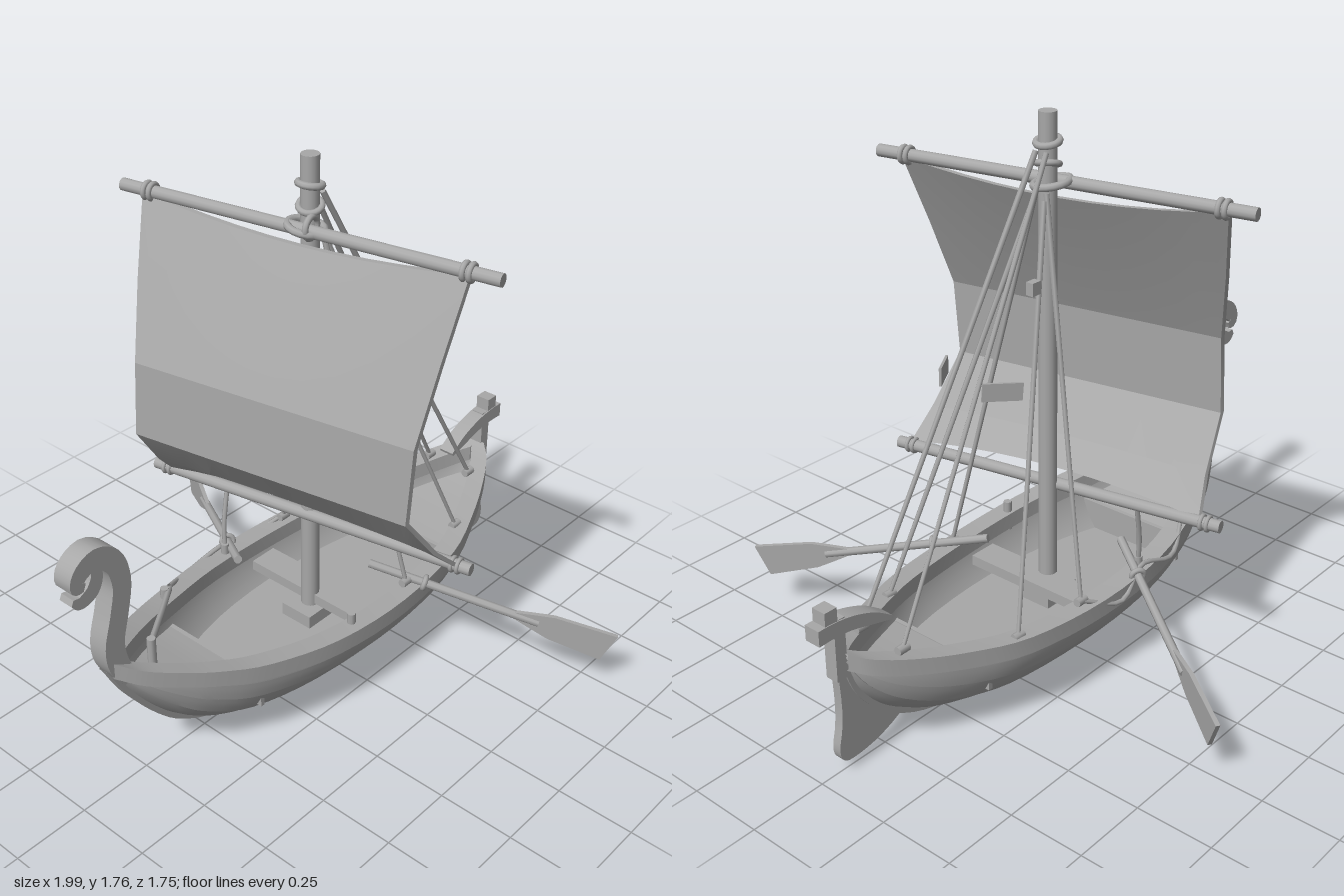
import * as THREE from 'three';
import { toCreasedNormals } from 'three/addons/utils/BufferGeometryUtils.js';
import { ParametricGeometry } from 'three/addons/geometries/ParametricGeometry.js';

const V = (x, y, z) => new THREE.Vector3(x, y, z);

// Hull stations: x, half width, keel height, sheer height
const STATIONS = [
  [-0.87, 0.02, 0.46, 0.49], [-0.8, 0.075, 0.33, 0.45], [-0.7, 0.135, 0.2, 0.415],
  [-0.6, 0.185, 0.11, 0.385], [-0.45, 0.24, 0.04, 0.35], [-0.2, 0.295, 0.014, 0.32],
  [0.1, 0.305, 0.008, 0.305], [0.4, 0.27, 0.014, 0.31], [0.6, 0.2, 0.05, 0.33],
  [0.75, 0.13, 0.13, 0.355], [0.85, 0.07, 0.24, 0.38], [0.9, 0.02, 0.36, 0.4],
];
const spline = (f) => new THREE.CatmullRomCurve3(STATIONS.map(f), false, 'catmullrom');
const lowCurve = spline((s) => V(s[0], s[2], s[1]));
const topCurve = spline((s) => V(s[0], s[3], 0));

function station(u) {
  const a = lowCurve.getPoint(u), b = topCurve.getPoint(u);
  return { x: a.x, w: Math.max(a.z, 0.01), keel: a.y, sheer: b.y };
}
const fullness = (t) => Math.pow(Math.max(0, 1 - (1 - t) * (1 - t)), 0.6);

export function createModel() {
  const model = new THREE.Group();
  const grey = new THREE.MeshStandardMaterial({ color: 0xa8a8a8, side: THREE.DoubleSide });
  grey.name = 'weathered grey';

  function add(name, geometry, parent = model) {
    const mesh = new THREE.Mesh(geometry, grey);
    mesh.name = name;
    parent.add(mesh);
    return mesh;
  }
  const surface = (name, fn, nu, nv, crease = 0.4) =>
    add(name, toCreasedNormals(new ParametricGeometry(fn, nu, nv), crease));
  function rod(name, a, b, r, r2 = r, sides = 10) {
    const mesh = add(name, new THREE.CylinderGeometry(r2, r, a.distanceTo(b), sides));
    mesh.position.copy(a).lerp(b, 0.5);
    mesh.quaternion.setFromUnitVectors(V(0, 1, 0), b.clone().sub(a).normalize());
    return mesh;
  }
  const rope = (name, pts, r = 0.008) =>
    add(name, new THREE.TubeGeometry(new THREE.CatmullRomCurve3(pts), 20, r, 6));
  function box(name, size, pos) {
    const mesh = add(name, new THREE.BoxGeometry(...size));
    mesh.position.set(...pos);
    return mesh;
  }
  function ring(name, pos, axis, r, tube) {
    const mesh = add(name, new THREE.TorusGeometry(r, tube, 8, 18));
    mesh.position.copy(pos);
    mesh.quaternion.setFromUnitVectors(V(0, 0, 1), axis.clone().normalize());
    return mesh;
  }
  // Flat plate cut in the x-y plane, centred on z
  function plate(name, shape, depth) {
    const g = new THREE.ExtrudeGeometry(shape, { depth, bevelEnabled: false, curveSegments: 8 });
    g.translate(0, 0, -depth / 2);
    return add(name, toCreasedNormals(g, 0.6));
  }
  // Tapering carved strip along points of x, y, half width
  function carving(name, pts, depth) {
    const c = new THREE.CatmullRomCurve3(pts.map((p) => V(...p)));
    const left = [], right = [];
    for (let i = 0; i <= 36; i++) {
      const p = c.getPoint(i / 36), t = c.getTangent(i / 36).setZ(0).normalize();
      left.push(new THREE.Vector2(p.x - t.y * p.z, p.y + t.x * p.z));
      right.unshift(new THREE.Vector2(p.x + t.y * p.z, p.y - t.x * p.z));
    }
    return plate(name, new THREE.Shape([...left, ...right]), depth);
  }

  // Lapped planking: each strake stands proud at its lower edge
  const laps = [0, 0.3, 0.55, 0.78, 1], profile = [];
  for (let j = 0; j < 4; j++) {
    for (let k = 0; k <= 3; k++) {
      const f = k / 3;
      profile.push([laps[j] + (laps[j + 1] - laps[j]) * f, j ? 0.009 * (1 - f) : 0]);
    }
  }
  for (const side of [1, -1]) {
    const label = side > 0 ? 'left' : 'right';
    surface(label + 'HullPlanking', (u, v, p) => {
      const s = station(u), [t, o] = profile[Math.round(v * (profile.length - 1))];
      p.set(s.x, s.keel + (s.sheer - s.keel) * t, side * (s.w * fullness(t) + o));
    }, 44, profile.length - 1);
    surface(label + 'InnerLining', (u, v, p) => {
      const s = station(u), t = 0.12 + 0.85 * v;
      p.set(s.x, s.keel + (s.sheer - s.keel) * t, side * Math.max(0, s.w * fullness(t) - 0.03));
    }, 36, 8);
    const corners = [[0.012, 0], [0.012, -0.055], [-0.055, -0.055], [-0.055, 0], [0.012, 0]];
    surface(label + 'Gunwale', (u, v, p) => {
      const s = station(u), [dz, dy] = corners[Math.round(v * 4)];
      p.set(s.x, s.sheer + dy, side * Math.max(0, s.w + dz));
    }, 44, 4);
  }

  // Floor of the well, end decks and bulkheads
  function deck(name, u0, u1, height) {
    surface(name, (u, v, p) => {
      const s = station(u0 + (u1 - u0) * u), y = Math.max(height(s), s.keel + 0.01);
      const t = (y - s.keel) / (s.sheer - s.keel);
      p.set(s.x, y, (v * 2 - 1) * Math.max(0, s.w * fullness(t) - 0.015));
    }, 16, 2);
  }
  deck('wellFloor', 4 / 11, 7.5 / 11, () => 0.15);
  deck('bowDeck', 0.03, 4.06 / 11, (s) => s.sheer - 0.1);
  deck('sternDeck', 7.5 / 11, 0.97, (s) => s.sheer - 0.1);
  box('bowBulkhead', [0.015, 0.1, 0.4], [-0.44, 0.2, 0]);
  box('sternBulkhead', [0.015, 0.08, 0.4], [0.5, 0.18, 0]);
  box('mastThwart', [0.1, 0.035, 0.5], [0.04, 0.22, 0]);
  box('mastStep', [0.14, 0.05, 0.12], [0, 0.17, 0]);

  // Keel strip following the bottom edge
  const edge = [[0.012, 0.02], [-0.012, 0.02], [-0.012, -0.02], [0.012, -0.02], [0.012, 0.02]];
  surface('keel', (u, v, p) => {
    const s = station(u), t = lowCurve.getTangent(u).setZ(0).normalize(), [n, z] = edge[Math.round(v * 4)];
    p.set(s.x - t.y * n, s.keel + t.x * n, z);
  }, 44, 4);

  // Scrolled stem
  carving('bowStem', [[-0.81, 0.4, 0.025], [-0.85, 0.48, 0.035], [-0.858, 0.55, 0.036], [-0.833, 0.65, 0.035],
    [-0.816, 0.75, 0.034], [-0.843, 0.838, 0.034], [-0.905, 0.875, 0.034], [-0.958, 0.85, 0.03],
    [-0.97, 0.815, 0.022], [-0.945, 0.805, 0.012]], 0.066);
  carving('bowScroll', [[-0.9, 0.855, 0.012], [-0.895, 0.81, 0.022], [-0.915, 0.77, 0.026],
    [-0.955, 0.755, 0.022], [-0.985, 0.768, 0.01]], 0.05);

  // Sternpost, rudder and tiller
  box('sternPost', [0.04, 0.2, 0.045], [0.915, 0.42, 0]);
  const rudder = new THREE.Shape();
  rudder.moveTo(0.9, 0.48);
  rudder.lineTo(0.935, 0.48);
  rudder.bezierCurveTo(0.925, 0.3, 0.905, 0.2, 0.935, 0.1);
  rudder.quadraticCurveTo(0.945, 0.03, 0.89, 0.03);
  rudder.quadraticCurveTo(0.78, 0.03, 0.68, 0.09);
  rudder.quadraticCurveTo(0.86, 0.2, 0.9, 0.4);
  plate('rudder', rudder, 0.03);
  carving('tiller', [[0.72, 0.432, 0.006], [0.79, 0.463, 0.018], [0.87, 0.488, 0.022], [0.94, 0.497, 0.024],
    [0.995, 0.497, 0.025]], 0.055);
  box('rudderHead', [0.045, 0.05, 0.05], [0.945, 0.54, 0]);

  // Mast
  rod('mast', V(0, 0.15, 0), V(0, 1.755, 0), 0.03, 0.028, 16);
  ring('mastCollar', V(0, 1.665, 0), V(0.2, 1, 0), 0.035, 0.011);
  ring('mastLashing', V(0, 1.6, 0), V(-0.3, 1, 0.2), 0.034, 0.01);

  // Yards, swung about the mast
  const yardX = (z) => -0.04 + 0.18 * z;
  const footX = (z) => -0.02 + 0.19 * z;
  const along = V(0.18, 0, 1);
  rod('upperYard', V(yardX(-0.62), 1.54, -0.62), V(yardX(0.62), 1.54, 0.62), 0.02, 0.02, 12);
  rod('lowerYard', V(footX(-0.57), 0.555, -0.57), V(footX(0.57), 0.555, 0.57), 0.02, 0.02, 12);
  for (const z of [-0.53, -0.51, 0.51, 0.53]) {
    ring('upperYardLashing', V(yardX(z), 1.54, z), along, 0.023, 0.009);
    ring('lowerYardLashing', V(footX(z), 0.555, z), along, 0.021, 0.007);
  }
  ring('yardParrel', V(-0.018, 1.54, 0), V(0.1, 1, 0.15), 0.055, 0.012);
  ring('yardSling', V(-0.03, 1.55, 0.03), along, 0.032, 0.01);

  // Sail rows: y, set-back, left edge, right edge, mid-span sag
  const rows = [[1.535, 0, 0.53, -0.54, -0.045], [1.3, -0.105, 0.525, -0.48, -0.015], [1.07, -0.2, 0.52, -0.42, 0],
    [0.82, -0.21, 0.51, -0.425, 0], [0.66, -0.09, 0.525, -0.455, 0.015], [0.565, 0.01, 0.53, -0.5, 0.045]];
  const sheet = (dx) => (u, v, p) => {
    const [y, back, l, r, sag] = rows[Math.round(v * 5)], z = r + (l - r) * u;
    p.set(yardX(z) + back + dx, y + sag * (1 - (2 * u - 1) ** 2), z);
  };
  surface('sailFront', sheet(-0.009), 10, 5, 0.2);
  surface('sailBack', sheet(0.009), 10, 5, 0.2);
  for (const u of [0, 1]) {
    surface('sailSideHem', (a, v, p) => sheet(a * 0.018 - 0.009)(u, v, p), 1, 5);
    surface('sailCrossHem', (a, b, p) => sheet(b * 0.018 - 0.009)(a, u, p), 10, 1);
  }

  // Standing rigging with cleats at the rail
  const shrouds = [
    [0.03, 1.52, 0.02, 0.16, 0.32, 0.27], [0.03, 1.52, -0.02, 0.17, 0.32, -0.275],
    [0.04, 1.5, -0.02, 0.425, 0.31, -0.245], [0.04, 1.5, 0.02, 0.52, 0.32, 0.195],
    [0.03, 1.64, 0.02, 0.75, 0.37, 0.075], [0.03, 1.64, -0.02, 0.75, 0.37, -0.095],
  ];
  for (const [x, y, z, ex, ey, ez] of shrouds) {
    rod('shroud', V(x, y, z), V(ex, ey, ez), 0.009, 0.007, 6);
    rod('shroudCleat', V(ex - 0.02, ey, ez), V(ex + 0.02, ey, ez), 0.014, 0.014, 8);
  }
  for (const side of [1, -1]) {
    const board = box('shroudBoard', [0.12, 0.055, 0.008], [0.335, 1.03, side * 0.115]);
    board.rotation.set(0, side * 0.6, 0.08);
  }
  box('riggingBlock', [0.035, 0.04, 0.025], [0.17, 1.29, -0.09]);
  rope('sailSheet', [V(-0.11, 0.33, -0.28), V(-0.1, 0.42, -0.29), V(-0.07, 0.55, -0.3)]);
  rope('slackLine', [V(-0.4, 0.36, -0.24), V(-0.25, 0.3, -0.31), V(-0.1, 0.33, -0.3), V(0.03, 0.27, -0.325), V(0.17, 0.32, -0.28)]);
  rope('bowLine', [V(-0.68, 0.425, -0.02), V(-0.55, 0.395, -0.12), V(-0.42, 0.37, -0.22)], 0.01);
  for (const [x, y, z] of [[-0.68, 0.425, -0.02], [-0.44, 0.37, -0.22], [-0.11, 0.335, -0.28], [-0.11, 0.335, 0.27]])
    rod('railPin', V(x, y - 0.09, z), V(x, y + 0.015, z), 0.014, 0.014, 8);

  // Oars: round loom, flat upright blade, lashing at the rail
  function oar(name, inner, tip, pivotT) {
    rod(name + 'Loom', inner, inner.clone().lerp(tip, 0.7), 0.014, 0.014, 8);
    const length = inner.distanceTo(tip);
    const half = [[0.6, 0.012], [0.68, 0.03], [0.75, 0.045], [0.97, 0.055]];
    const outline = [...half, ...half.map(([t, h]) => [t, -h]).reverse()];
    outline[4][0] = 1.0;
    const blade = plate(name + 'Blade', new THREE.Shape(outline.map(([t, h]) => new THREE.Vector2(-t * length, -h))), 0.014);
    blade.geometry.rotateY(Math.PI / 2);
    blade.position.copy(inner);
    blade.lookAt(tip);
    ring(name + 'Lashing', inner.clone().lerp(tip, pivotT), tip.clone().sub(inner), 0.02, 0.009);
  }
  oar('leftOar', V(0.12, 0.355, 0.15), V(0.485, 0.165, 0.86), 0.23);
  oar('rightOar', V(-0.15, 0.355, -0.18), V(0.29, 0.165, -0.86), 0.2);
  return model;
}
